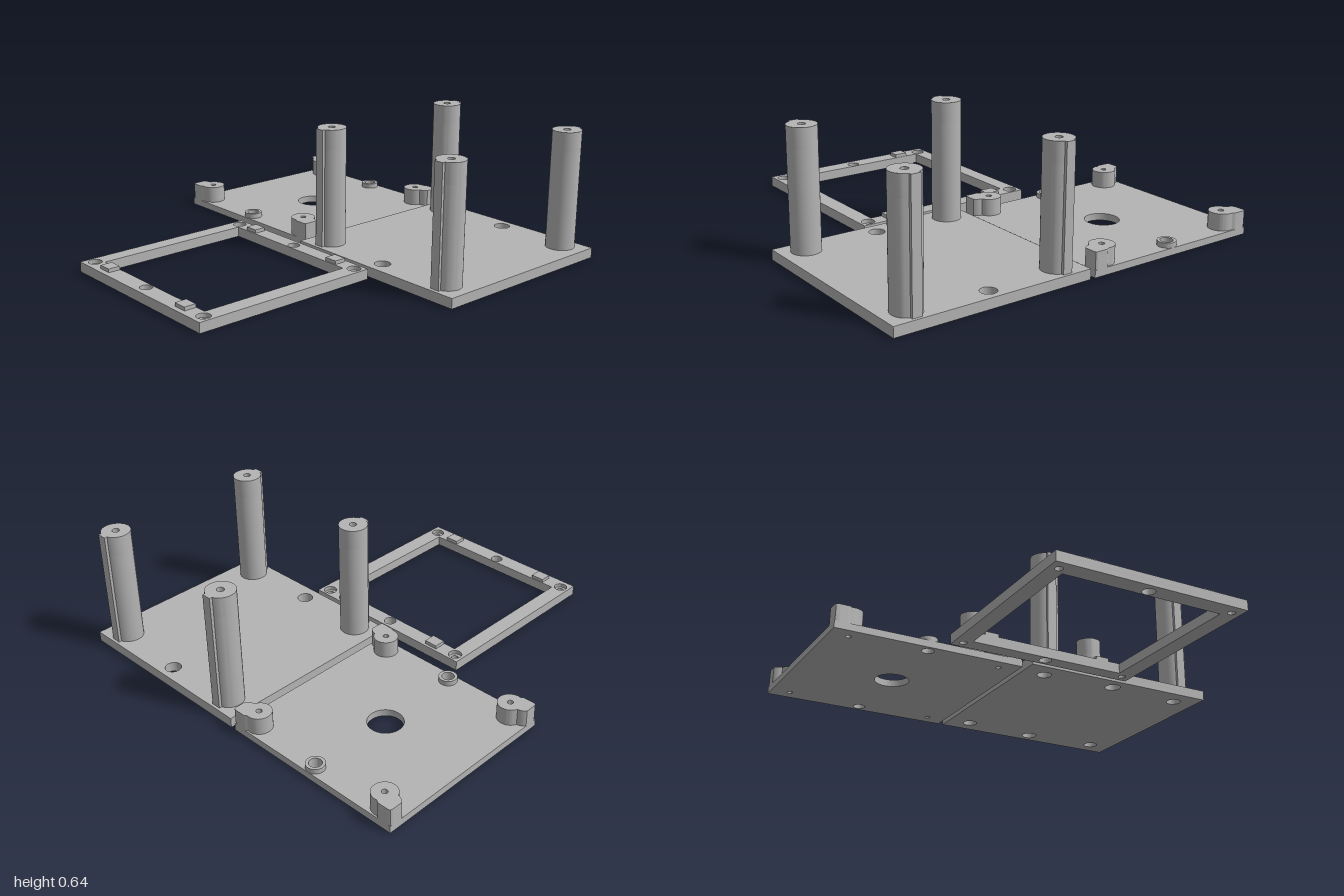
import * as THREE from 'three';
import { toCreasedNormals } from 'three/addons/utils/BufferGeometryUtils.js';

const grey = new THREE.MeshStandardMaterial({ color: 0xb4b4b4 });
grey.name = 'grey plastic';

// Shapes are drawn in plan, with shape y = -z
function circle(x, z, r, Kind = THREE.Path) {
  const c = new Kind();
  c.absarc(x, -z, r, 0, Math.PI * 2, false);
  return c;
}

function rect(x0, x1, z0, z1, Kind = THREE.Shape) {
  return new Kind([[x0, -z1], [x1, -z1], [x1, -z0], [x0, -z0]].map(p => new THREE.Vector2(...p)));
}

// Upright slab of a plan shape between two heights
function slab(name, shape, holes, y0, y1) {
  shape.holes.push(...holes);
  let geo = new THREE.ExtrudeGeometry(shape, { depth: y1 - y0, bevelEnabled: false, curveSegments: 20 });
  geo.rotateX(-Math.PI / 2).translate(0, y0, 0);
  geo = toCreasedNormals(geo, 0.6);
  const mesh = new THREE.Mesh(geo, grey);
  mesh.name = name;
  return mesh;
}

// Round post outline with a narrow key ridge on its outer side (dir = sign of z)
function postShape(x, z, dir) {
  const r = 0.071, reach = 0.081, w = 0.024;
  const a = Math.asin(w / r), pts = [];
  for (let i = 0; i <= 40; i++) {
    const t = a + (i / 40) * (Math.PI * 2 - 2 * a);
    pts.push([Math.sin(t) * r, Math.cos(t) * r]);
  }
  pts.push([-w, reach], [w, reach]);
  return new THREE.Shape(pts.map(([u, v]) => new THREE.Vector2(x + u, -(z + dir * v))));
}

// Boss outline: a circle joined to an outer lobe, trimmed at the plate edge
function bossShape(x, z, sx, sz, edgeX, edgeZ) {
  const r = 0.06, ox = 0.055, oz = 0.03, lobe = 0.05;
  const d = Math.hypot(ox, oz), dirA = Math.atan2(oz, ox), pts = [];
  for (let i = 0; i < 72; i++) {
    const t = (i / 72) * Math.PI * 2, s = d * Math.sin(t - dirA), c = Math.cos(t - dirA);
    let rad = r;
    if (c > 0 && Math.abs(s) < lobe) rad = Math.max(r, d * c + Math.sqrt(lobe * lobe - s * s));
    const u = Math.min(Math.cos(t) * rad, Math.abs(edgeX - x));
    const v = Math.min(Math.sin(t) * rad, Math.abs(edgeZ - z));
    pts.push(new THREE.Vector2(x + sx * u, -(z + sz * v)));
  }
  return new THREE.Shape(pts);
}

function createBase() {
  const g = new THREE.Group();
  g.name = 'basePlate';
  const posts = [];
  for (const x of [0.105, 0.878]) for (const [z, dir] of [[-0.905, -1], [-0.087, 1]]) posts.push([x, z, dir]);
  const holes = [circle(0.49, -0.932, 0.039), circle(0.49, -0.066, 0.039)];
  posts.forEach(([x, z]) => holes.push(circle(x, z, 0.036)));
  g.add(slab('basePanel', rect(-0.015, 1, -1, 0.012), holes, 0, 0.05));
  // Posts with a wide screw bore below and a narrow one at the top
  for (const [x, z, dir] of posts) {
    g.add(slab('postLower', postShape(x, z, dir), [circle(x, z, 0.036)], 0.05, 0.54));
    g.add(slab('postUpper', postShape(x, z, dir), [circle(x, z, 0.018)], 0.54, 0.64));
  }
  return g;
}

function createLid() {
  const g = new THREE.Group();
  g.name = 'lidPlate';
  const x0 = -1, x1 = -0.041, z0 = -1, z1 = -0.043;
  const holes = [circle(-0.52, -0.52, 0.085)];
  // Corner bosses
  for (const sx of [-1, 1]) for (const sz of [-1, 1]) {
    const x = sx < 0 ? -0.905 : -0.136, z = sz < 0 ? -0.932 : -0.111;
    holes.push(circle(x, z, 0.014));
    const shape = bossShape(x, z, sx, sz, sx < 0 ? x0 : x1, sz < 0 ? z0 : z1);
    g.add(slab('cornerBoss', shape, [circle(x, z, 0.014)], 0.035, 0.12));
  }
  // Raised collars around the middle holes
  for (const z of [-0.955, -0.09]) {
    holes.push(circle(-0.52, z, 0.03));
    g.add(slab('collar', circle(-0.52, z, 0.045, THREE.Shape), [circle(-0.52, z, 0.03)], 0.035, 0.06));
  }
  g.add(slab('lidPanel', rect(x0, x1, z0, z1), holes, 0, 0.035));
  return g;
}

function createFrame() {
  const g = new THREE.Group();
  g.name = 'openFrame';
  const rows = [0.08, 0.945];
  // Two layers, so the corner screw holes step out at the top
  for (const [y0, y1, r] of [[0, 0.03, 0.018], [0.03, 0.05, 0.033]]) {
    const holes = [rect(-0.386, 0.411, 0.115, 0.912, THREE.Path)];
    for (const z of rows) {
      holes.push(circle(0.015, z, 0.03), circle(-0.419, z, r), circle(0.449, z, r));
    }
    g.add(slab('frameLayer', rect(-0.465, 0.496, 0.036, 1), holes, y0, y1));
  }
  // Square locating pads
  for (const x of [-0.286, 0.318]) for (const z of rows) {
    const pad = new THREE.Mesh(new THREE.BoxGeometry(0.07, 0.02, 0.06), grey);
    pad.position.set(x, 0.058, z);
    pad.name = 'locatingPad';
    g.add(pad);
  }
  return g;
}

export function createModel() {
  const model = new THREE.Group();
  model.name = 'enclosureParts';
  model.add(createBase(), createLid(), createFrame());
  return model;
}
